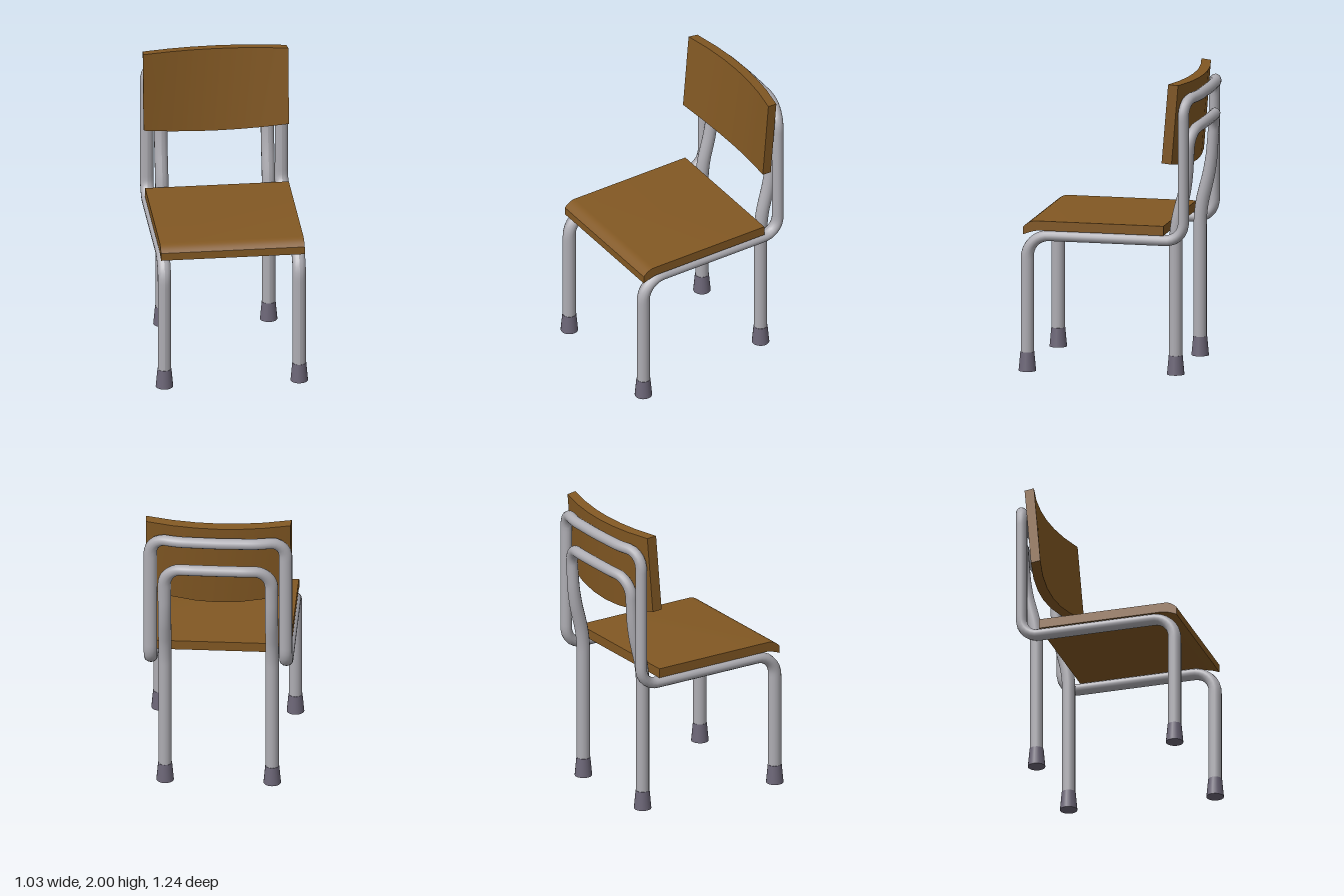
import * as THREE from 'three';
import { toCreasedNormals } from 'three/addons/utils/BufferGeometryUtils.js';

const wood = new THREE.MeshStandardMaterial({ color: 0x825823 });
wood.name = 'wood';
const metal = new THREE.MeshStandardMaterial({ color: 0xaeadb3 });
metal.name = 'metal';
const rubber = new THREE.MeshStandardMaterial({ color: 0x6c6677 });
rubber.name = 'rubber';

function addMesh(group, name, geometry, material) {
  const mesh = new THREE.Mesh(geometry, material);
  mesh.name = name;
  group.add(mesh);
  return mesh;
}

// Straight runs joined by rounded corners; each point is [x, y, z, cornerRadius]
function roundedPath(points) {
  const path = new THREE.CurvePath();
  const v = points.map(([x, y, z]) => new THREE.Vector3(x, y, z));
  let last = v[0];
  for (let i = 1; i < v.length - 1; i++) {
    const r = points[i][3];
    const a = v[i].clone().add(v[i - 1].clone().sub(v[i]).setLength(r));
    const b = v[i].clone().add(v[i + 1].clone().sub(v[i]).setLength(r));
    path.add(new THREE.LineCurve3(last, a));
    // cubic handles approximate a round bend
    const c1 = a.clone().lerp(v[i], 0.55);
    const c2 = b.clone().lerp(v[i], 0.55);
    path.add(new THREE.CubicBezierCurve3(a, c1, c2, b));
    last = b;
  }
  path.add(new THREE.LineCurve3(last, v[v.length - 1]));
  return path;
}

// Symmetric bent tube, slightly flattened above the legs
function frameTube(half, thinFrom, thinTo) {
  const mirrored = half.slice(0, -1).reverse().map(([x, y, z, r]) => [-x, y, z, r]);
  const path = roundedPath([...half, ...mirrored]);
  const segments = 200, sides = 14;
  const geometry = new THREE.TubeGeometry(path, segments, 0.045, sides);
  const p = geometry.attributes.position;
  for (let i = 0; i <= segments; i++) {
    const c = path.getPointAt(i / segments);
    const k = 1 - 0.17 * THREE.MathUtils.smoothstep(c.y, thinFrom, thinTo);
    for (let j = 0; j <= sides; j++) {
      const n = i * (sides + 1) + j;
      p.setY(n, c.y + (p.getY(n) - c.y) * k);
      p.setZ(n, c.z + (p.getZ(n) - c.z) * k);
    }
  }
  geometry.computeVertexNormals();
  return geometry;
}

// Flat board with a rolled front lip, profile drawn in z and y
function seatGeometry() {
  const s = new THREE.Shape();
  s.moveTo(-0.385, 0.965);
  s.lineTo(0.47, 0.965);
  s.quadraticCurveTo(0.52, 0.962, 0.58, 0.935);
  s.lineTo(0.58, 0.988);
  s.quadraticCurveTo(0.54, 1.03, 0.5, 1.03);
  s.lineTo(-0.385, 1.03);
  const geometry = new THREE.ExtrudeGeometry(s, { depth: 0.97, bevelEnabled: false, curveSegments: 6 });
  geometry.rotateY(-Math.PI / 2).translate(0.49, 0, 0);
  return toCreasedNormals(geometry, 0.5);
}

// Curved, tilted board: a box whose vertices follow a shallow bow
function backrestGeometry() {
  const geometry = new THREE.BoxGeometry(2, 1, 1, 6, 1, 1);
  const p = geometry.attributes.position;
  const columns = [-0.49, -0.31, -0.15, 0, 0.15, 0.31, 0.49];
  for (let i = 0; i < p.count; i++) {
    const x = columns[Math.round((p.getX(i) + 1) * 3)];
    const bow = 1 - (x / 0.49) ** 2;
    const top = p.getY(i) > 0;
    const back = p.getZ(i) < 0;
    const y = (top ? 2 - 0.008 * bow : 1.46 - 0.052 * bow) - (back ? 0.007 : 0);
    const z = (top ? -0.418 : -0.373) - 0.064 * bow - (back ? 0.067 : 0);
    p.setXYZ(i, x * (back ? 0.99 : 1), y, z);
  }
  return toCreasedNormals(geometry, 0.5);
}

export function createModel() {
  const chair = new THREE.Group();
  chair.name = 'chair';

  addMesh(chair, 'seat', seatGeometry(), wood);
  addMesh(chair, 'backrest', backrestGeometry(), wood);

  // Front legs, seat rails and upper back hoop in one tube
  addMesh(chair, 'mainFrame', frameTube([
    [0.455, 0.02, 0.56],
    [0.455, 0.927, 0.56, 0.15],
    [0.455, 0.927, -0.515, 0.12],
    [0.455, 1.885, -0.515, 0.11],
    [0.27, 1.89, -0.572, 0.05],
    [0, 1.89, -0.58, 0.05],
  ], 0.75, 0.93), metal);

  // Rear legs and lower back hoop in one tube
  addMesh(chair, 'rearFrame', frameTube([
    [0.36, 0.02, -0.44],
    [0.36, 1.0, -0.44, 0.1],
    [0.36, 1.3, -0.515, 0.1],
    [0.36, 1.665, -0.54, 0.12],
    [0.2, 1.68, -0.578, 0.04],
    [0, 1.68, -0.58, 0.05],
  ], 1.1, 1.6), metal);

  // Rubber feet
  const footGeometry = new THREE.CylinderGeometry(0.047, 0.059, 0.13, 20);
  for (const side of [-1, 1]) {
    const name = side > 0 ? 'left' : 'right';
    addMesh(chair, name + 'FrontFoot', footGeometry, rubber).position.set(side * 0.455, 0.065, 0.56);
    addMesh(chair, name + 'RearFoot', footGeometry, rubber).position.set(side * 0.36, 0.065, -0.44);
  }
  return chair;
}
